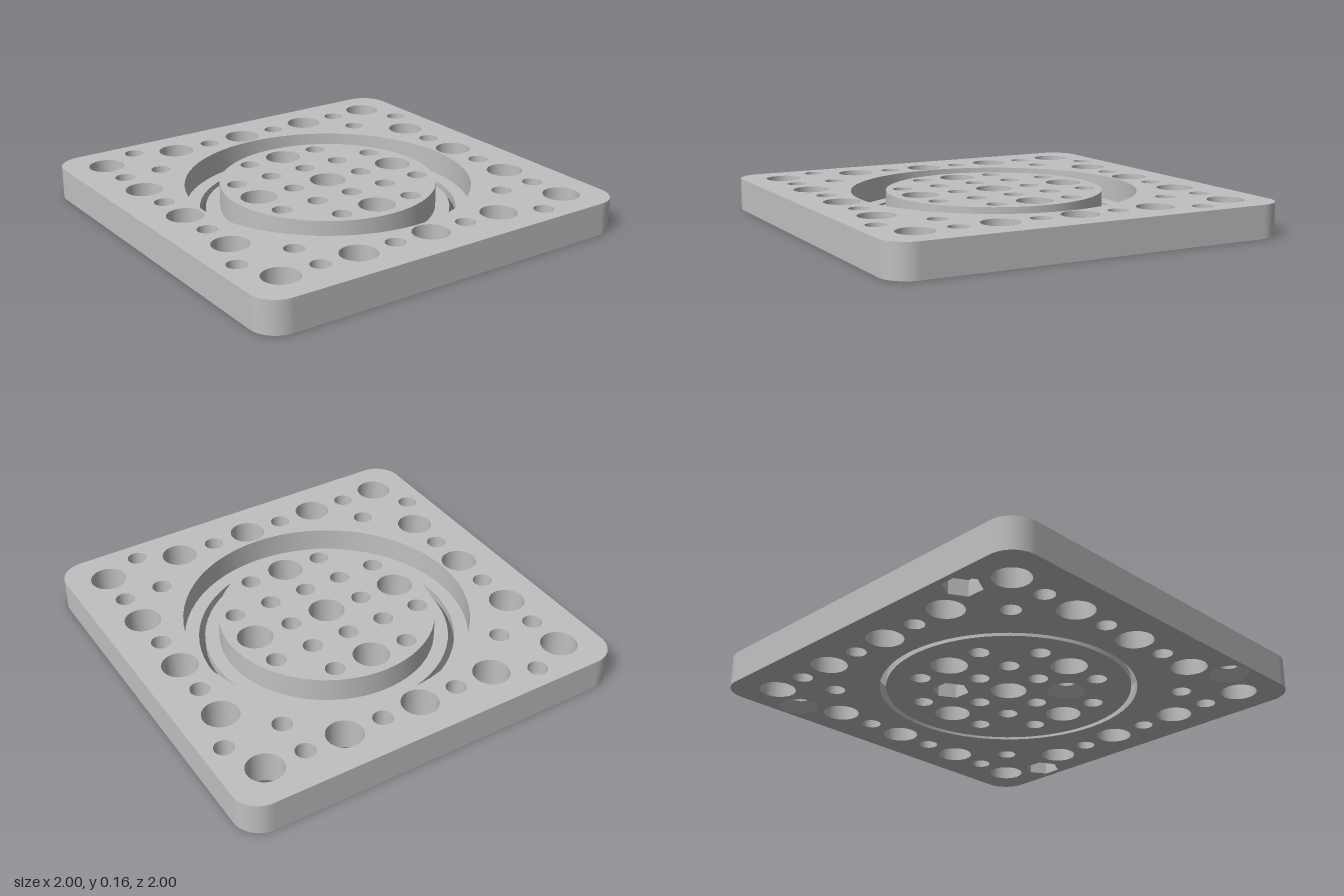
import * as THREE from 'three';
import { mergeGeometries } from 'three/addons/utils/BufferGeometryUtils.js';

const H = 0.16, LEDGE = 0.04, CORNER = 0.13;
const BIG = 0.088, SMALL = 0.048, SINK = 0.095, SINK_DEPTH = 0.05, NUT = 0.09, NUT_DEPTH = 0.08;
const SEG = 64;

// Holes: x, z, radius, and the kind of recess on the underside
const both = (list, r) => list.flatMap(([x, z]) => [{ x, z, r }, { x: -x, z: -z, r }]);
const plateHoles = [
  ...both([[0.8, 0.8], [0.8, -0.8], [0.8, 0.4], [0.8, -0.4], [0.4, 0.8], [0.4, -0.8], [0.8, 0], [0, 0.8]], BIG),
  ...both([[0.2, 0.8], [0.2, -0.8], [0.8, 0.2], [0.8, -0.2], [0.6, 0.6], [0.6, -0.6], [0.8, 0.6], [0.6, -0.8]], SMALL),
  ...both([[0.6, 0.89]], SMALL).map(h => ({ ...h, recess: 'sink' })),
  ...both([[0.89, -0.6]], SMALL).map(h => ({ ...h, recess: 'nut' })),
];
const discHoles = [
  { x: 0, z: 0, r: BIG },
  ...both([[0.4, 0], [0, 0.4]], BIG),
  ...both([[0.2, 0.4], [0.2, -0.4], [0.4, 0.2], [0.4, -0.2], [0.2, -0.2], [0, 0.2], [0.2, 0]], SMALL),
  { x: 0.2, z: 0.2, r: SMALL, recess: 'sink' },
  { x: -0.2, z: -0.2, r: SMALL, recess: 'nut' },
];

const circle = (x, z, r) => new THREE.Shape().absarc(x, z, r, 0, Math.PI * 2, false);
const hexagon = (x, z, r) => new THREE.Shape(Array.from({ length: 6 }, (_, i) => {
  const a = Math.PI / 2 + i * Math.PI / 3;
  return new THREE.Vector2(x + r * Math.cos(a), z + r * Math.sin(a));
}));

// Rounded square outline as points with outward directions
function outline() {
  const pts = [], c = 1 - CORNER, n = 16;
  [[c, c], [-c, c], [-c, -c], [c, -c]].forEach(([cx, cz], q) => {
    for (let i = 0; i <= n; i++) {
      const a = (q + i / n) * Math.PI / 2, nx = Math.cos(a), nz = Math.sin(a);
      pts.push({ x: cx + CORNER * nx, z: cz + CORNER * nz, nx, nz });
    }
  });
  return pts;
}
const square = () => new THREE.Shape(outline().map(p => new THREE.Vector2(p.x, p.z)));

// Horizontal face with holes, facing up or down
function cap(shape, holes, y, up) {
  shape.holes = holes;
  const g = new THREE.ShapeGeometry(shape, SEG / 2);
  g.rotateX(Math.PI / 2);
  if (up) {
    const idx = g.index.array, nor = g.attributes.normal;
    for (let i = 0; i < idx.length; i += 3) [idx[i], idx[i + 1]] = [idx[i + 1], idx[i]];
    for (let i = 0; i < nor.count; i++) nor.setXYZ(i, 0, 1, 0);
  }
  return g.translate(0, y, 0).toNonIndexed();
}

// Round wall from one radius and height to another; rising faces outward, falling faces inward
function wall(r0, y0, r1, y1, x = 0, z = 0, sides = SEG) {
  const g = new THREE.LatheGeometry([new THREE.Vector2(r0, y0), new THREE.Vector2(r1, y1)], sides)
    .toNonIndexed();
  if (sides === 6) g.computeVertexNormals();
  return g.translate(x, 0, z);
}

// Outer side of the plate
function rim() {
  const pts = outline(), pos = [], nor = [], uv = [], idx = [], n = pts.length;
  pts.forEach(p => [0, H].forEach(y => {
    pos.push(p.x, y, p.z); nor.push(p.nx, 0, p.nz); uv.push(0, y);
  }));
  for (let i = 0; i < n; i++) {
    const a = 2 * i, b = 2 * ((i + 1) % n);
    idx.push(a, a + 1, b, b, a + 1, b + 1);
  }
  const g = new THREE.BufferGeometry();
  g.setAttribute('position', new THREE.Float32BufferAttribute(pos, 3));
  g.setAttribute('normal', new THREE.Float32BufferAttribute(nor, 3));
  g.setAttribute('uv', new THREE.Float32BufferAttribute(uv, 2));
  g.setIndex(idx);
  return g.toNonIndexed();
}

// Inside of a through hole, with its countersink or nut pocket
function bore({ x, z, r, recess }) {
  if (recess === 'sink') return [wall(r, H, r, SINK_DEPTH, x, z), wall(r, SINK_DEPTH, SINK, 0, x, z)];
  if (recess === 'nut') return [
    wall(r, H, r, NUT_DEPTH, x, z),
    cap(hexagon(x, z, NUT), [circle(x, z, r)], NUT_DEPTH, false),
    wall(NUT, NUT_DEPTH, NUT, 0, x, z, 6),
  ];
  return [wall(r, H, r, 0, x, z)];
}
const topHole = h => circle(h.x, h.z, h.r);
const bottomHole = h => h.recess === 'nut' ? hexagon(h.x, h.z, NUT)
  : circle(h.x, h.z, h.recess === 'sink' ? SINK : h.r);

export function createModel() {
  const group = new THREE.Group();
  const grey = new THREE.MeshStandardMaterial({ color: 0xc0c0c0 });
  grey.name = 'grey';
  const add = (name, parts) => {
    const mesh = new THREE.Mesh(mergeGeometries(parts), grey);
    mesh.name = name;
    group.add(mesh);
  };

  // Square frame with a stepped round opening
  add('framePlate', [
    rim(),
    cap(square(), [circle(0, 0, 0.7), ...plateHoles.map(topHole)], H, true),
    cap(square(), [circle(0, 0, 0.63), ...plateHoles.map(bottomHole)], 0, false),
    wall(0.7, H, 0.7, LEDGE),
    cap(circle(0, 0, 0.7), [circle(0, 0, 0.63)], LEDGE, true),
    wall(0.63, LEDGE, 0.63, 0),
  ]);
  add('frameHoles', plateHoles.flatMap(bore));

  // Loose centre disc with a flange at its foot
  add('centreDisc', [
    cap(circle(0, 0, 0.53), discHoles.map(topHole), H, true),
    cap(circle(0, 0, 0.6), discHoles.map(bottomHole), 0, false),
    wall(0.53, LEDGE, 0.53, H),
    cap(circle(0, 0, 0.6), [circle(0, 0, 0.53)], LEDGE, true),
    wall(0.6, 0, 0.6, LEDGE),
  ]);
  add('discHoles', discHoles.flatMap(bore));
  return group;
}
